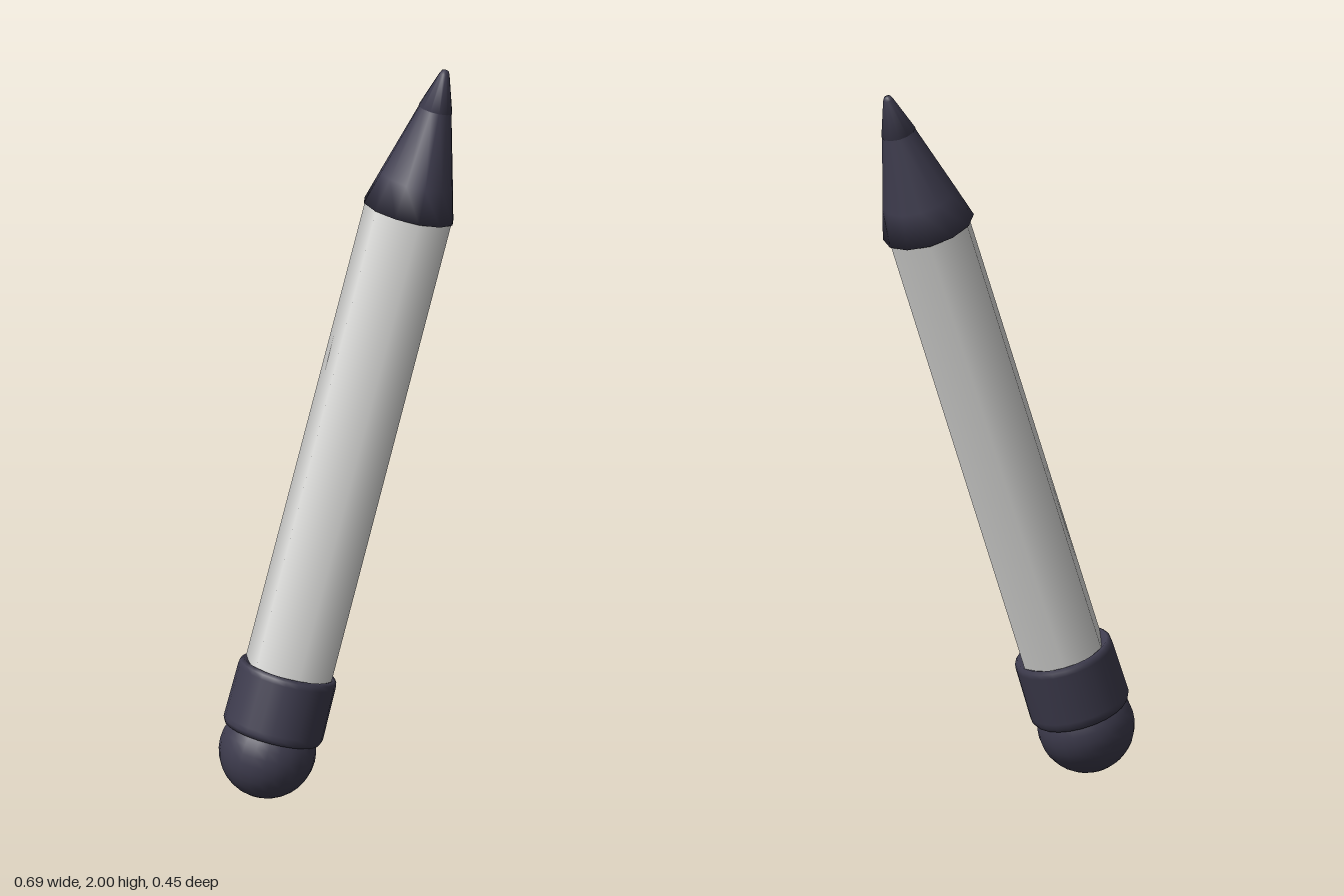
import * as THREE from 'three';

export function createModel() {
  const white = new THREE.MeshStandardMaterial({ color: 0xdcdcda });
  white.name = 'light grey barrel';
  const dark = new THREE.MeshStandardMaterial({ color: 0x3e3c4e });
  dark.name = 'dark slate';

  const pencil = new THREE.Group();
  pencil.name = 'pencil';

  // Each part is turned around the pencil axis; points are [radius, height above eraser centre]
  function turned(name, points, sides, material) {
    const profile = points.map(([r, h]) => new THREE.Vector2(r, h));
    const mesh = new THREE.Mesh(new THREE.LatheGeometry(profile, sides), material);
    mesh.name = name;
    pencil.add(mesh);
  }

  // Hexagonal barrel with softened edges
  turned('barrel', [[0.124, 0.1], [0.124, 1.56]], 6, white);

  // Round eraser
  const eraser = new THREE.Mesh(new THREE.SphereGeometry(0.132, 24, 16), dark);
  eraser.name = 'eraser';
  pencil.add(eraser);

  // Collar between eraser and barrel, rounded at both rims
  turned('collar', [
    [0.115, 0.047], [0.132, 0.05], [0.138, 0.062], [0.138, 0.075],
    [0.136, 0.215], [0.134, 0.228], [0.126, 0.236], [0.1, 0.222],
  ], 24, dark);

  // Sharpened cone, closed underneath where it overhangs the barrel
  turned('sharpenedCone', [
    [0, 1.549], [0.128, 1.549], [0.103, 1.64], [0.044, 1.85],
  ], 12, dark);

  // Lead point with a blunt end
  turned('leadPoint', [
    [0, 1.843], [0.048, 1.843], [0.014, 1.945], [0.009, 1.954], [0, 1.957],
  ], 12, dark);

  // Lean the pencil along its axis, resting on the eraser
  const axis = new THREE.Vector3(0.2915, 1, -0.132).normalize();
  pencil.quaternion.setFromUnitVectors(new THREE.Vector3(0, 1, 0), axis);
  pencil.position.set(-0.217, 0.133, 0.098);

  const model = new THREE.Group();
  model.name = 'leaningPencil';
  model.add(pencil);
  return model;
}
